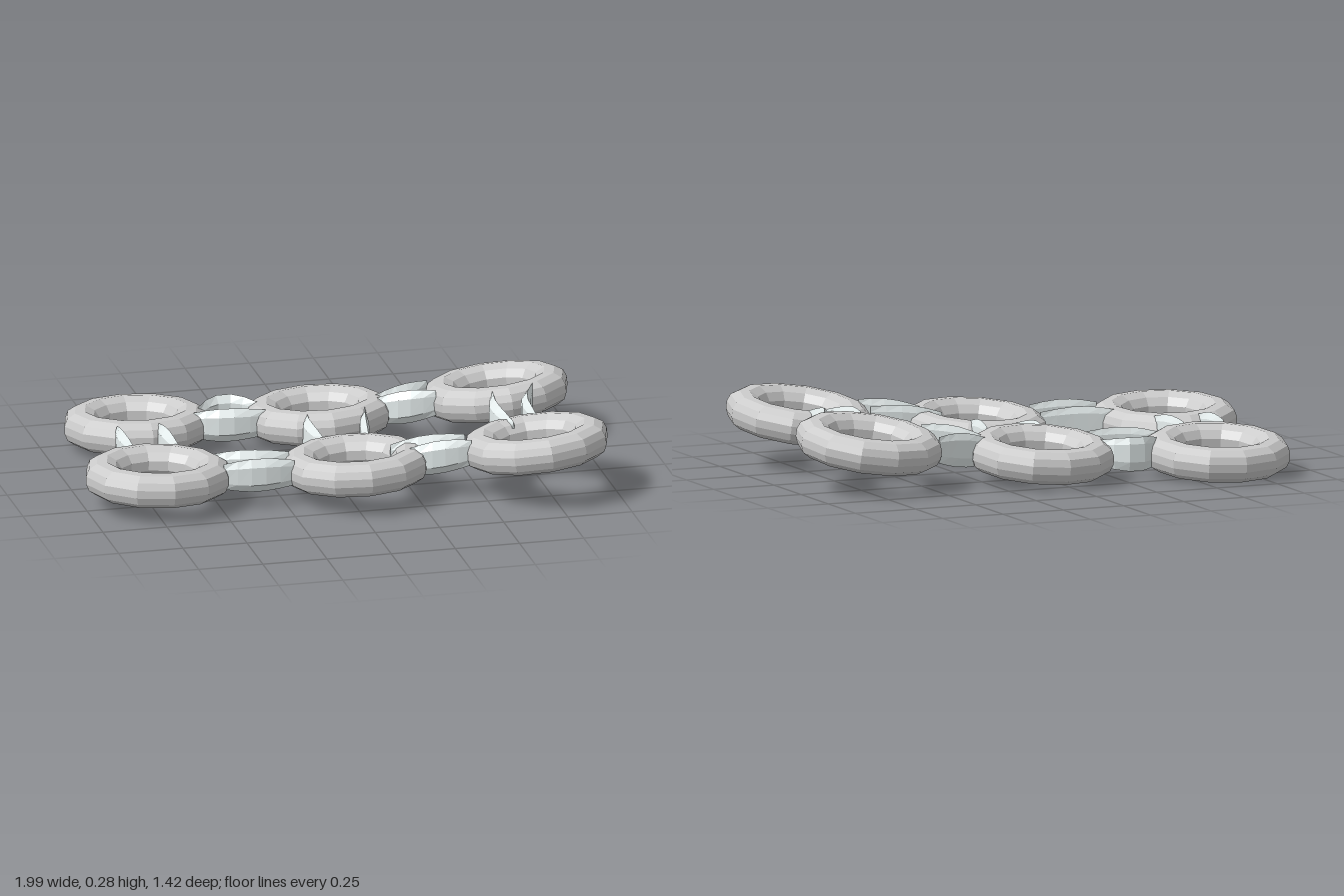
import * as THREE from 'three';

const tyreMaterial = new THREE.MeshStandardMaterial({ color: 0xcccccc, flatShading: true });
const strapMaterial = new THREE.MeshStandardMaterial({ color: 0xe6eeee, flatShading: true });

// Tyre centres (x, y, z) and slopes: rise per unit of x and of z
const tyres = {
  backLeft: { p: [-0.64, 0.095, -0.437], sx: 0, sz: 0.09 },
  backMiddle: { p: [0.04, 0.115, -0.325], sx: 0.03, sz: 0.1 },
  backRight: { p: [0.71, 0.185, -0.23], sx: 0.09, sz: 0.13 },
  frontLeft: { p: [-0.72, 0.122, 0.23], sx: -0.02, sz: 0.06 },
  frontMiddle: { p: [0.03, 0.13, 0.31], sx: 0.03, sz: 0.08 },
  frontRight: { p: [0.705, 0.2, 0.425], sx: 0.09, sz: 0.12 },
};

// Straps: the two tyres joined, then the (x, z) path between them
const straps = [
  ['backLeft', 'backMiddle', [[-0.41, -0.39], [-0.34, -0.455], [-0.25, -0.455], [-0.18, -0.385]]],
  ['backLeft', 'backMiddle', [[-0.45, -0.31], [-0.33, -0.27], [-0.18, -0.255]]],
  ['backMiddle', 'backRight', [[0.25, -0.29], [0.36, -0.31], [0.47, -0.345]]],
  ['backMiddle', 'backRight', [[0.25, -0.25], [0.35, -0.2], [0.46, -0.16]]],
  ['frontLeft', 'frontMiddle', [[-0.5, 0.19], [-0.37, 0.22], [-0.21, 0.235]]],
  ['frontLeft', 'frontMiddle', [[-0.49, 0.34], [-0.36, 0.355], [-0.22, 0.36]]],
  ['frontMiddle', 'frontRight', [[0.17, 0.295], [0.3, 0.31], [0.45, 0.335]]],
  ['frontMiddle', 'frontRight', [[0.21, 0.385], [0.33, 0.415], [0.45, 0.445]]],
  ['backLeft', 'frontLeft', [[-0.77, -0.21], [-0.77, -0.1], [-0.76, 0]]],
  ['backLeft', 'frontLeft', [[-0.61, -0.2], [-0.6, -0.09], [-0.59, 0.03]]],
  ['backMiddle', 'frontMiddle', [[-0.05, -0.14], [-0.06, -0.04], [-0.04, 0.08]]],
  ['backMiddle', 'frontMiddle', [[0.175, -0.13], [0.145, 0.01], [0.125, 0.14]]],
  ['backRight', 'frontRight', [[0.64, 0], [0.625, 0.13], [0.655, 0.28]]],
  ['backRight', 'frontRight', [[0.81, -0.04], [0.75, 0.1], [0.755, 0.24]]],
];

// Height of a tyre's middle plane at x, z
function planeHeight({ p, sx, sz }, x, z) {
  return p[1] + sx * (x - p[0]) + sz * (z - p[2]);
}

// Rounded, slightly flattened tyre section swept in 12 steps
function makeTyreGeometry() {
  const half = [[0.142, 0.018], [0.163, 0.048], [0.198, 0.066], [0.237, 0.062], [0.268, 0.042], [0.279, 0.015]];
  const upper = half.map(([r, y]) => new THREE.Vector2(r, y));
  const lower = half.map(([r, y]) => new THREE.Vector2(r, -y));
  const profile = [...lower, ...upper.reverse(), lower[0]];
  return new THREE.LatheGeometry(profile, 12);
}

// Upright, lens-shaped band with narrowing ends
function makeStrapGeometry(a, b, path) {
  const first = path[0], last = path[path.length - 1];
  const ya = planeHeight(a, ...first), yb = planeHeight(b, ...last);
  const curve = new THREE.CatmullRomCurve3(path.map(([x, z]) => new THREE.Vector3(x, 0, z)));
  const section = [[0, 1], [0.9, 0.55], [1, -0.5], [0, -1], [-0.6, -0.45], [-0.5, 0.6]];
  const steps = 5, n = section.length, positions = [], index = [];
  for (let i = 0; i <= steps; i++) {
    const t = i / steps;
    const c = curve.getPoint(t), d = curve.getTangent(t);
    const swell = Math.sin(Math.PI * t);
    const y = ya + (yb - ya) * t + 0.012;
    const tall = 0.05 + 0.016 * swell, wide = 0.007 + 0.018 * swell;
    for (const [u, v] of section) {
      positions.push(c.x - d.z * u * wide, y + v * tall, c.z + d.x * u * wide);
    }
  }
  for (let i = 0; i < steps; i++) {
    for (let j = 0; j < n; j++) {
      const p = i * n + j, q = i * n + (j + 1) % n;
      index.push(p, p + n, q, q, p + n, q + n);
    }
  }
  const end = steps * n;
  for (let j = 1; j < n - 1; j++) index.push(0, j, j + 1, end, end + j + 1, end + j);
  const geometry = new THREE.BufferGeometry();
  geometry.setAttribute('position', new THREE.Float32BufferAttribute(positions, 3));
  geometry.setIndex(index);
  geometry.computeVertexNormals();
  return geometry;
}

export function createModel() {
  const model = new THREE.Group();
  model.name = 'tyreRaft';

  // Six tilted tyres
  const tyreGeometry = makeTyreGeometry();
  const up = new THREE.Vector3(0, 1, 0);
  for (const [name, tyre] of Object.entries(tyres)) {
    const mesh = new THREE.Mesh(tyreGeometry, tyreMaterial);
    mesh.name = name + 'Tyre';
    mesh.position.set(...tyre.p);
    const normal = new THREE.Vector3(-tyre.sx, 1, -tyre.sz).normalize();
    mesh.quaternion.setFromUnitVectors(up, normal);
    model.add(mesh);
  }

  // Pairs of straps lashing neighbouring tyres together
  strapMaterial.side = THREE.DoubleSide;
  straps.forEach(([a, b, path], i) => {
    const mesh = new THREE.Mesh(makeStrapGeometry(tyres[a], tyres[b], path), strapMaterial);
    mesh.name = 'strap' + (i + 1);
    model.add(mesh);
  });
  return model;
}
